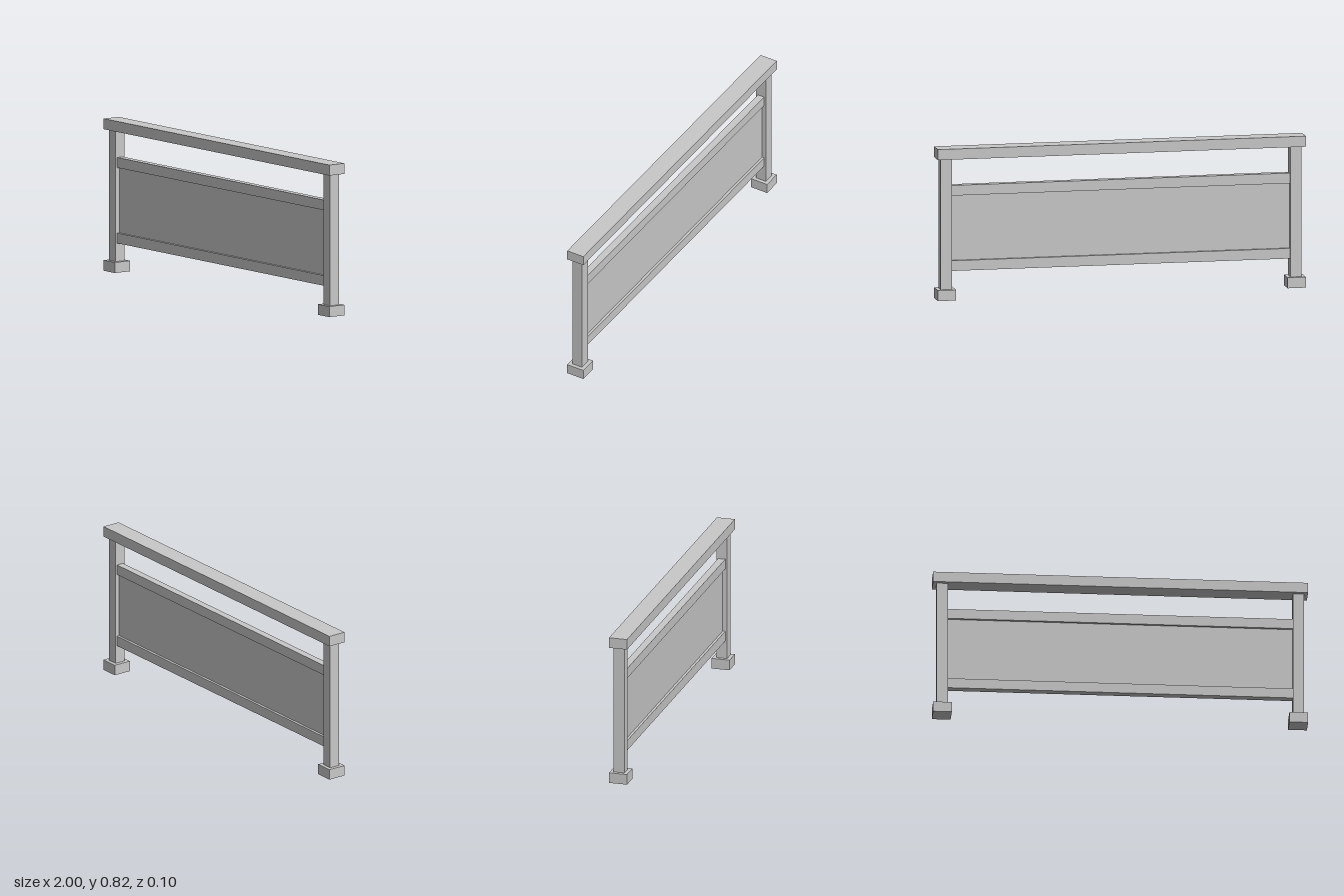
import * as THREE from 'three';

export function createModel() {
  const model = new THREE.Group();
  model.name = 'railing';
  const grey = new THREE.MeshStandardMaterial({ color: 0xc8c8c8 });
  grey.name = 'lightGrey';

  // Box spanning y0..y1, centred on z = 0
  function bar(name, width, y0, y1, depth, x = 0) {
    const mesh = new THREE.Mesh(new THREE.BoxGeometry(width, y1 - y0, depth), grey);
    mesh.name = name;
    mesh.position.set(x, (y0 + y1) / 2, 0);
    model.add(mesh);
  }

  // Top rail on two posts with square feet
  bar('handrail', 2, 0.762, 0.819, 0.1);
  for (const [side, s] of [['left', 1], ['right', -1]]) {
    bar(side + 'Post', 0.06, 0.057, 0.762, 0.06, s * 0.95);
    bar(side + 'Foot', 0.1, 0, 0.057, 0.1, s * 0.95);
  }

  // Infill panel framed by two thin rails
  bar('upperRail', 1.84, 0.562, 0.617, 0.04);
  bar('panel', 1.84, 0.21, 0.562, 0.012);
  bar('lowerRail', 1.84, 0.155, 0.21, 0.04);

  return model;
}
